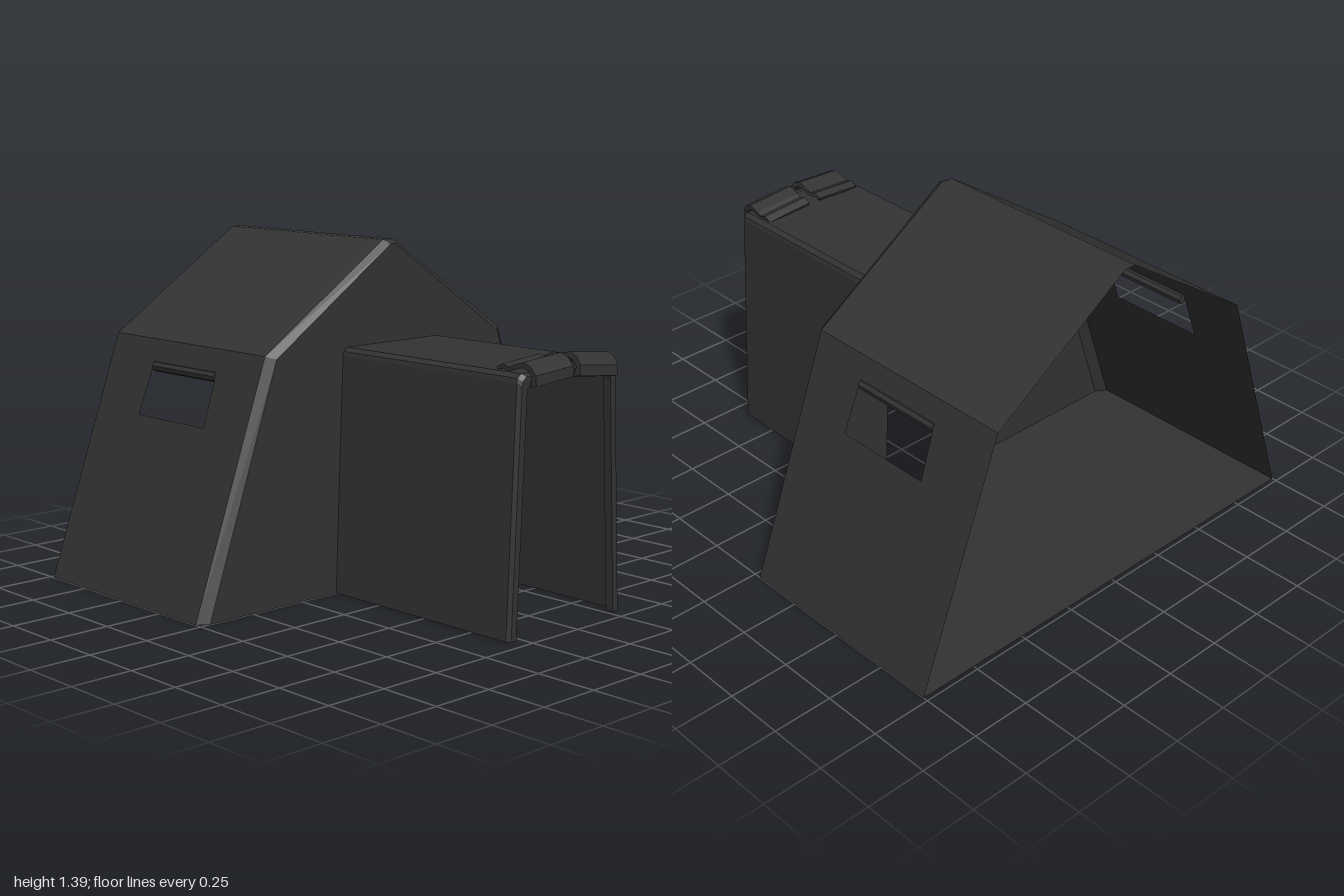
import * as THREE from 'three';

const canvas = new THREE.MeshStandardMaterial({ color: 0x333333, side: THREE.DoubleSide });
canvas.name = 'charcoal canvas';

// Flat-shaded sheet lofted through open rings of [x, y, z] points
function loft(rings) {
  const n = rings[0].length;
  const index = [];
  for (let i = 0; i < rings.length - 1; i++) {
    for (let j = 0; j < n - 1; j++) {
      const a = i * n + j, b = a + 1, c = a + n, d = c + 1;
      index.push(a, b, c, b, d, c);
    }
  }
  const g = new THREE.BufferGeometry();
  g.setAttribute('position', new THREE.Float32BufferAttribute(rings.flat(2), 3));
  g.setIndex(index);
  return flat(g);
}

function flat(g) {
  const f = g.index ? g.toNonIndexed() : g;
  f.computeVertexNormals();
  return f;
}

function add(parent, name, geometry) {
  const mesh = new THREE.Mesh(geometry, canvas);
  mesh.name = name;
  parent.add(mesh);
  return mesh;
}

// Mirror the right half of an outline to get the full left-to-right arch
const arch = (half) => [...half.map(([x, y]) => [-x, y]), ...half.slice().reverse()];
const at = (points, z) => points.map(([x, y]) => [x, y, z]);
const vectors = (points) => points.map(([x, y]) => new THREE.Vector2(x, y));

const BACK = -0.98, SEAM = -0.03;
const outer = arch([[1, 0], [0.645, 0.987], [0.028, 1.395]]);
const inner = arch([[0.955, 0], [0.613, 0.975], [0.012, 1.38]]);
const wallX = (y) => 1 - 0.355 * y / 0.987;

// Tunnel outline, inset by d
const tunnelArch = (d) => arch([
  [0.315 - d, 0], [0.272 - d, 0.955 - d], [0.268 - d, 0.972 - d], [0.25 - d, 0.987 - d],
]);

function sideWall(side) {
  const shape = new THREE.Shape(vectors([[BACK, 0], [SEAM, 0], [SEAM, 0.987], [BACK, 0.987]]));
  shape.holes.push(new THREE.Path(vectors([[-0.70, 0.69], [-0.69, 0.90], [-0.29, 0.90], [-0.28, 0.69]])));
  const g = new THREE.ShapeGeometry(shape);
  const p = g.attributes.position;
  for (let i = 0; i < p.count; i++) {
    const z = p.getX(i), y = p.getY(i);
    p.setXYZ(i, side * wallX(y), y, z);
  }
  return flat(g);
}

// Draped door flap: a thin folded strip extruded across x
function flapGeometry(width) {
  const top = [[0.945, 0.94], [0.972, 0.945], [0.972, 0.985], [0.95, 1.015], [0.915, 1.03],
    [0.865, 1.015], [0.845, 1.005], [0.815, 1.015], [0.785, 1.0]];
  const under = [[0.79, 0.988], [0.815, 0.998], [0.845, 0.989], [0.87, 0.998],
    [0.91, 1.008], [0.938, 0.998], [0.952, 0.975], [0.945, 0.955]];
  const shape = new THREE.Shape(vectors([...top, ...under].map(([z, y]) => [-z, y])));
  const g = new THREE.ExtrudeGeometry(shape, { depth: width, bevelEnabled: false });
  g.translate(0, -1, -width / 2);
  g.rotateY(Math.PI / 2);
  return flat(g);
}

export function createModel() {
  const model = new THREE.Group();
  model.name = 'tent';

  // Main shelter: roof, bevelled front seam, floor
  const roof = outer.slice(1, -1);
  add(model, 'roof', loft([at(roof, SEAM), at(roof, BACK)]));
  add(model, 'frontSeam', loft([at(inner, 0), at(outer, SEAM)]));
  add(model, 'floor', loft([
    [[-0.955, 0, 0], [0.955, 0, 0]],
    [[-1, 0, SEAM], [1, 0, SEAM]],
    [[-1, 0, BACK], [1, 0, BACK]],
  ]));

  // Front wall, cut out where the tunnel joins
  const doorway = tunnelArch(0);
  add(model, 'frontWall', flat(new THREE.ShapeGeometry(
    new THREE.Shape(vectors([...inner, ...doorway.slice().reverse()])))));

  // Side walls with windows and rolled-up window covers
  for (const side of [1, -1]) {
    const label = side > 0 ? 'left' : 'right';
    add(model, label + 'Wall', sideWall(side));
    const roll = new THREE.CylinderGeometry(0.021, 0.021, 0.4, 7);
    roll.rotateX(Math.PI / 2);
    const cover = add(model, label + 'WindowRoll', flat(roll));
    cover.position.set(side * (wallX(0.88) - 0.012), 0.88, -0.49);
  }

  // Entrance tunnel with a bevelled, turned-in front hem
  add(model, 'tunnel', loft([at(doorway, 0), at(doorway, 0.925)]));
  add(model, 'tunnelHem', loft([
    at(doorway, 0.925), at(tunnelArch(0.012), 0.94),
    at(tunnelArch(0.04), 0.94), at(tunnelArch(0.04), 0.905),
  ]));

  // Door flaps thrown over the tunnel mouth
  const flaps = [['rightDoorFlap', -0.125, 0.003, 0.07, 0.03], ['leftDoorFlap', 0.133, -0.002, -0.1, -0.03]];
  for (const [name, x, lift, tilt, turn] of flaps) {
    const flap = add(model, name, flapGeometry(0.21));
    flap.position.set(x, 1 + lift, 0);
    flap.rotation.z = tilt;
    flap.geometry.translate(0, 0, -0.88).rotateY(turn).translate(0, 0, 0.88);
  }
  const tie = add(model, 'doorTie', new THREE.BoxGeometry(0.03, 0.04, 0.02));
  tie.position.set(-0.005, 0.985, 0.945);

  return model;
}
